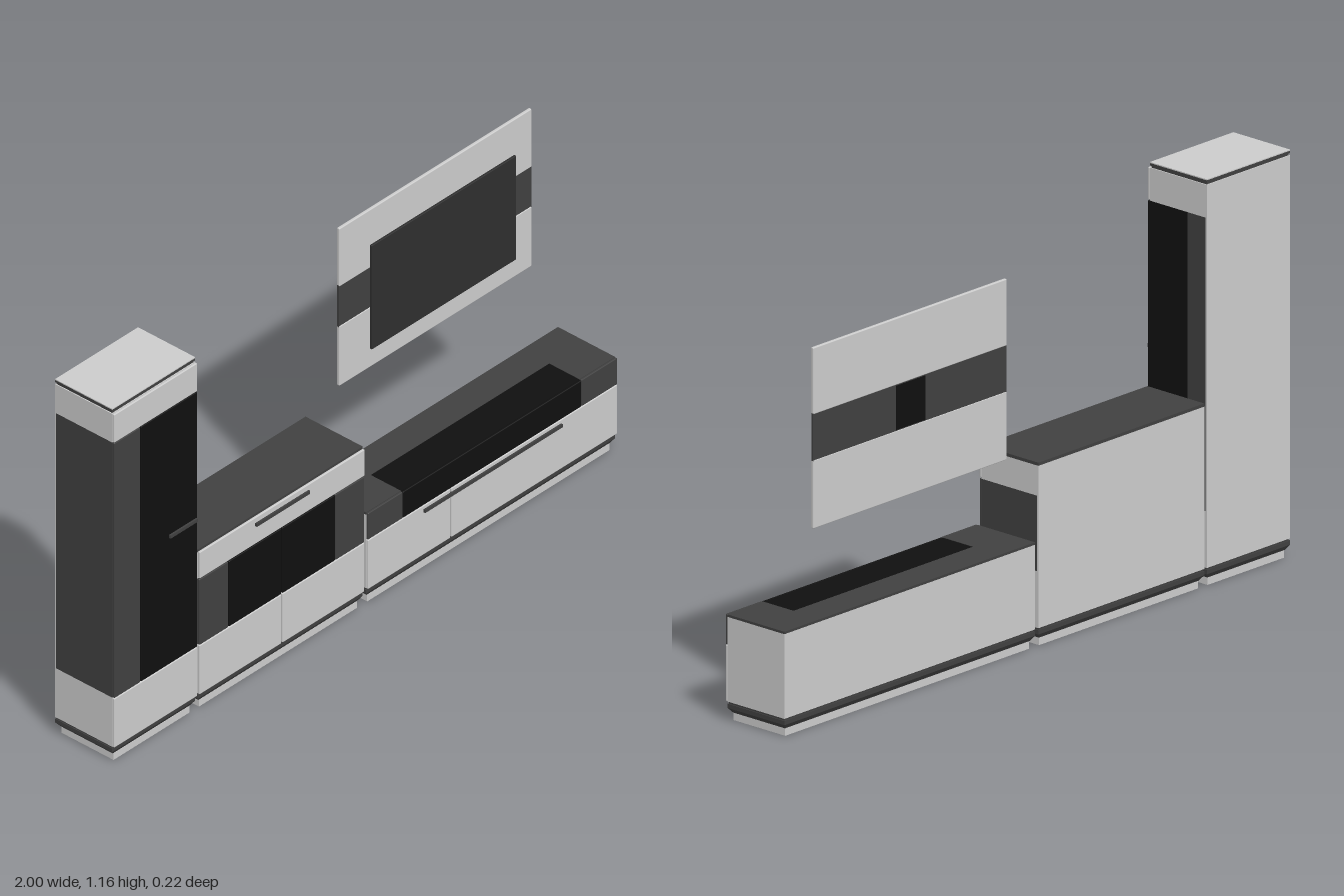
import * as THREE from 'three';
import { RoundedBoxGeometry } from 'three/addons/geometries/RoundedBoxGeometry.js';

const mat = (color) => new THREE.MeshStandardMaterial({ color });
const GREY = mat(0xcccccc), DARK = mat(0x404040), GLASS = mat(0x101010), SCREEN = mat(0x2e2e2e);
const BACK = -0.11, BODY = 0.098, FRONT = 0.106;

// Box given by its limits on each axis; r > 0 rounds its edges
function box(parent, name, material, [x0, x1], [y0, y1], [z0, z1], r = 0) {
  const size = [x1 - x0, y1 - y0, z1 - z0];
  const geo = r ? new RoundedBoxGeometry(...size, 2, r) : new THREE.BoxGeometry(...size);
  const mesh = new THREE.Mesh(geo, material);
  mesh.position.set((x0 + x1) / 2, (y0 + y1) / 2, (z0 + z1) / 2);
  mesh.name = name;
  parent.add(mesh);
  return mesh;
}

// Box whose vertices on one side of an axis are drawn in, making a frustum
function taper(mesh, axis, sign, insetA, insetB) {
  const p = mesh.geometry.attributes.position;
  const others = [0, 1, 2].filter((a) => a !== axis);
  for (let i = 0; i < p.count; i++) {
    if (p.getComponent(i, axis) * sign < 0) continue;
    [insetA, insetB].forEach((d, k) => {
      const v = p.getComponent(i, others[k]);
      p.setComponent(i, others[k], v - Math.sign(v) * d);
    });
  }
  mesh.geometry.computeVertexNormals();
}

function group(parent, name) {
  const g = new THREE.Group();
  g.name = name;
  parent.add(g);
  return g;
}

const front = (g, name, m, xs, ys) => box(g, name, m, xs, ys, [BODY, FRONT], 0.0025);
const handle = (g, xs, y) => box(g, 'handle', DARK, xs, [y - 0.005, y + 0.005], [FRONT - 0.002, 0.112]);

// Inset plinth and chamfered dark base shared by all cabinets
function base(g, [x0, x1]) {
  box(g, 'plinth', GREY, [x0 + 0.014, x1 - 0.014], [0, 0.022], [BACK + 0.01, 0.09]);
  taper(box(g, 'baseChamfer', DARK, [x0, x1], [0.022, 0.036], [BACK, BODY]), 1, -1, 0.012, 0.009);
  box(g, 'baseRim', DARK, [x0, x1], [0.036, 0.048], [BACK, BODY]);
  box(g, 'shadowGap', DARK, [x0 + 0.003, x1 - 0.003], [0.048, 0.054], [BACK + 0.003, BODY - 0.003]);
}

function tallCabinet(root) {
  const g = group(root, 'tallCabinet'), x0 = -1, x1 = -0.67, xs = [x0, x1], z = [BACK, BODY];
  base(g, xs);
  box(g, 'lowerBody', GREY, xs, [0.054, 0.215], z);
  box(g, 'sidePanel', DARK, [x0, -0.895], [0.215, 1.05], [BACK + 0.004, BODY]);
  box(g, 'rearSidePanel', DARK, [-0.895, x1], [0.215, 1.05], [BACK + 0.004, -0.04]);
  box(g, 'sideGlass', GLASS, [-0.895, x1], [0.215, 1.05], [-0.04, BODY]);
  box(g, 'backPanel', GREY, xs, [0.215, 1.05], [BACK, BACK + 0.004]);
  box(g, 'upperBody', GREY, xs, [1.05, 1.144], z);
  box(g, 'topGap', DARK, [x0 + 0.003, x1 - 0.003], [1.144, 1.15], [BACK + 0.003, BODY - 0.003]);
  box(g, 'topRim', DARK, xs, [1.15, 1.157], z);
  box(g, 'topPlate', GREY, xs, [1.157, 1.16], z);
  front(g, 'lowerFront', GREY, xs, [0.054, 0.214]);
  front(g, 'darkFront', DARK, [x0, -0.896], [0.216, 1.05]);
  front(g, 'glassDoor', GLASS, [-0.894, x1], [0.216, 1.05]);
  front(g, 'upperFront', GREY, xs, [1.052, 1.144]);
  handle(g, [-0.783, -0.675], 0.635);
}

function sideboard(root) {
  const g = group(root, 'sideboard'), x0 = -0.66, x1 = -0.004, mid = -0.333, xs = [x0, x1], z = [BACK, BODY];
  base(g, xs);
  box(g, 'lowerBody', GREY, xs, [0.054, 0.215], z);
  box(g, 'middleBody', DARK, xs, [0.215, 0.43], [BACK + 0.004, BODY]);
  box(g, 'backPanel', GREY, xs, [0.215, 0.43], [BACK, BACK + 0.004]);
  box(g, 'upperBody', GREY, xs, [0.43, 0.516], z);
  box(g, 'top', DARK, xs, [0.516, 0.525], z);
  // Mirrored pair of doors
  for (const s of [-1, 1]) {
    const span = (a, b) => [mid + s * a, mid + s * b].sort((p, q) => p - q);
    front(g, 'doorLower', GREY, span(0.002, 0.328), [0.054, 0.214]);
    front(g, 'doorGlass', GLASS, span(0.002, 0.211), [0.216, 0.43]);
    front(g, 'doorSide', DARK, span(0.213, 0.328), [0.216, 0.43]);
  }
  front(g, 'drawerFront', GREY, xs, [0.433, 0.519]);
  handle(g, [-0.44, -0.228], 0.497);
}

function lowCabinet(root) {
  const g = group(root, 'lowCabinet'), x0 = 0.009, x1 = 1, xs = [x0, x1];
  const gx = [0.148, 0.858], zGlass = -0.012;
  base(g, xs);
  box(g, 'body', GREY, xs, [0.054, 0.215], [BACK, BODY]);
  // Grey shell around the dark upper section
  box(g, 'rightEnd', GREY, [x0, x0 + 0.004], [0.215, 0.295], [BACK, BODY]);
  box(g, 'leftEnd', GREY, [x1 - 0.004, x1], [0.215, 0.295], [BACK, BODY]);
  box(g, 'backPanel', GREY, [x0 + 0.004, x1 - 0.004], [0.215, 0.295], [BACK, BACK + 0.004]);
  // Dark top with a glass inlay that folds over the front
  box(g, 'topRear', DARK, xs, [0.295, 0.302], [BACK, zGlass]);
  box(g, 'topRight', DARK, [x0, gx[0]], [0.295, 0.302], [zGlass, BODY]);
  box(g, 'topLeft', DARK, [gx[1], x1], [0.295, 0.302], [zGlass, BODY]);
  box(g, 'glassTop', GLASS, gx, [0.215, 0.301], [zGlass, BODY]);
  front(g, 'frontRight', DARK, [x0, gx[0] - 0.001], [0.216, 0.302]);
  front(g, 'frontLeft', DARK, [gx[1] + 0.001, x1], [0.216, 0.302]);
  front(g, 'glassFront', GLASS, gx, [0.216, 0.301]);
  front(g, 'doorRight', GREY, [x0, 0.337], [0.054, 0.214]);
  front(g, 'doorLeft', GREY, [0.341, x1], [0.054, 0.214]);
  handle(g, [0.23, 0.777], 0.198);
}

function wallUnit(root) {
  const g = group(root, 'wallUnit'), xs = [0.12, 0.885];
  const panel = group(g, 'wallPanel');
  box(panel, 'lowerBand', GREY, xs, [0.565, 0.76], [BACK, -0.1], 0.003);
  box(panel, 'upperBand', GREY, xs, [0.89, 1.08], [BACK, -0.1], 0.003);
  box(panel, 'middleBand', DARK, xs, [0.757, 0.893], [BACK + 0.001, -0.102]);
  box(panel, 'bracket', GLASS, [0.442, 0.557], [0.762, 0.888], [BACK, -0.095]);
  // Flat screen with a tapered rear housing
  const tv = group(g, 'television');
  box(tv, 'screen', SCREEN, [0.215, 0.79], [0.65, 0.99], [-0.077, -0.069], 0.002);
  taper(box(tv, 'rearHousing', GLASS, [0.26, 0.745], [0.69, 0.945], [-0.1, -0.077]), 2, -1, 0.03, 0.02);
}

export function createModel() {
  const root = new THREE.Group();
  root.name = 'wallFurniture';
  tallCabinet(root);
  sideboard(root);
  lowCabinet(root);
  wallUnit(root);
  return root;
}
